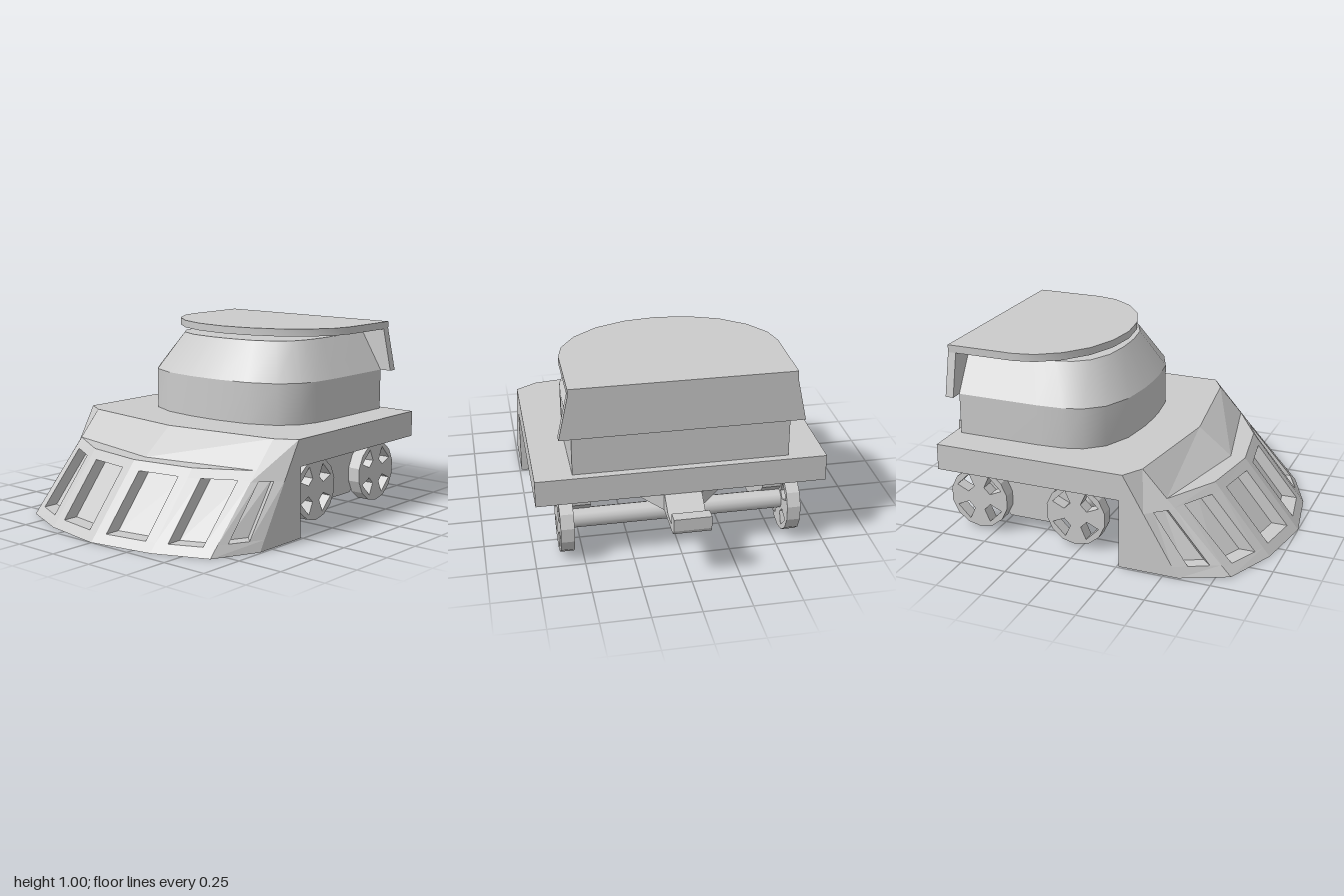
import * as THREE from 'three';
import { toCreasedNormals } from 'three/addons/utils/BufferGeometryUtils.js';

const material = new THREE.MeshStandardMaterial({ color: 0xcccccc, side: THREE.DoubleSide });

// Half outlines as [x, z], running from the rear corner to the centre front
const CAB = [[0.55, -0.72], [0.55, -0.27], [0.54, -0.13], [0.51, -0.03], [0.43, 0.065], [0.28, 0.13], [0.1, 0.153], [0, 0.155]];
const ROOF = [[0.565, -0.765], [0.565, -0.39], [0.54, -0.28], [0.46, -0.16], [0.33, -0.06], [0.17, 0], [0, 0.02]];
const DECK = [[0.74, -0.76], [0.74, 0.28], [0.63, 0.345], [0, 0.43]];

const mirrorOutline = (half) => [...half, ...half.slice(0, -1).reverse().map(([x, z]) => [-x, z])];
const toPath = (pts, Type = THREE.Shape) => new Type(pts.map(([x, y]) => new THREE.Vector2(x, y)));
const extrude = (shape, depth) => new THREE.ExtrudeGeometry(shape, { depth, bevelEnabled: false });

function add(parent, name, geometry) {
  const mesh = new THREE.Mesh(geometry, material);
  mesh.name = name;
  parent.add(mesh);
  return mesh;
}

// Horizontal plate from a half outline, with an optional hole
function plate(half, y, height, hole) {
  const flip = (pts) => mirrorOutline(pts).map(([x, z]) => [x, -z]);
  const shape = toPath(flip(half));
  if (hole) shape.holes.push(toPath(flip(hole), THREE.Path));
  return extrude(shape, height).rotateX(-Math.PI / 2).translate(0, y, 0);
}

// Flat faced geometry from a list of quads
function fromQuads(quads) {
  const pos = quads.flatMap(([a, b, c, d]) => [a, b, c, a, c, d].flat());
  const g = new THREE.BufferGeometry();
  g.setAttribute('position', new THREE.Float32BufferAttribute(pos, 3));
  g.computeVertexNormals();
  return g;
}

const mirrorQuads = (quads) => [
  ...quads,
  ...quads.map((q) => q.map(([x, y, z]) => [-x, y, z]).reverse()),
];

// Wall between two equal rings of points
function ringWall(low, high) {
  const quads = low.map((p, i) => {
    const j = (i + 1) % low.length;
    return [low[j], p, high[i], high[j]];
  });
  return toCreasedNormals(fromQuads(quads), 0.6);
}

// Sloping panel with one recessed window; corners run round from bottom inner
function windowPanel([a, b, c, d], [u0, u1, v0, v1], inset) {
  const at = (u, v) => a.map((_, k) =>
    (1 - v) * (a[k] * (1 - u) + b[k] * u) + v * (d[k] * (1 - u) + c[k] * u));
  const patch = (p, q, r, s) => [at(p, r), at(q, r), at(q, s), at(p, s)];
  const rim = patch(u0, u1, v0, v1);
  const back = rim.map((p) => p.map((n, k) => n + inset[k]));
  return [
    patch(0, 1, 0, v0), patch(0, 1, v1, 1), patch(0, u0, v0, v1), patch(u1, 1, v0, v1), back,
    ...rim.map((p, i) => [p, rim[(i + 1) % 4], back[(i + 1) % 4], back[i]]),
  ];
}

function buildSkirt(parent) {
  const p = [[0, 0, 1], [0.35, 0, 0.94], [0.63, 0, 0.82], [0.74, 0, 0.58], [0.74, 0, 0.26]];
  const ledge = [[0, 0.37, 0.69], [0.35, 0.37, 0.635], [0.63, 0.37, 0.475]];
  const slope = [[0, 0.37, 0.61], [0.63, 0.37, 0.475]];
  const brow = [[0, 0.51, 0.43], [0.63, 0.51, 0.345], [0.74, 0.51, 0.28], [0.74, 0.51, 0.26]];
  const inLow = [[0, 0, 0.89], [0.33, 0, 0.835], [0.52, 0, 0.73], [0.52, 0, 0.58], [0.52, 0, 0.26]];
  const inTop = [[0, 0.37, 0.58], [0.33, 0.37, 0.53], [0.52, 0.37, 0.4], [0.52, 0.37, 0.32], [0.52, 0.37, 0.26]];

  // Outside panels with windows
  add(parent, 'skirtPanels', fromQuads(mirrorQuads([
    ...windowPanel([p[0], p[1], ledge[1], ledge[0]], [0.17, 0.84, 0.12, 0.88], [0, 0, -0.085]),
    ...windowPanel([p[1], p[2], ledge[2], ledge[1]], [0.21, 0.79, 0.12, 0.88], [0, 0, -0.085]),
    ...windowPanel([p[2], p[3], brow[2], brow[1]], [0.23, 0.68, 0.11, 0.627], [-0.05, 0, -0.05]),
    [p[3], p[4], brow[3], brow[2]],
  ])));

  // Sloping brow and the ledge below it
  add(parent, 'skirtBrow', fromQuads(mirrorQuads([
    [slope[0], slope[1], brow[1], brow[0]],
    [ledge[0], ledge[1], slope[1], slope[0]],
  ])));

  // Inner lining, bottom rim and rear ends
  const lining = [];
  for (let i = 0; i < 4; i++) {
    lining.push([inLow[i + 1], inLow[i], inTop[i], inTop[i + 1]]);
    lining.push([p[i + 1], p[i], inLow[i], inLow[i + 1]]);
  }
  lining.push([p[4], inLow[4], inTop[4], [0.74, 0.37, 0.26]]);
  lining.push([inTop[0], inTop[1], inTop[2], [0, 0.37, 0.4]]);
  add(parent, 'skirtLining', fromQuads(mirrorQuads(lining)));
}

function buildCab(parent) {
  const ring = (y, sx = 1, sz = 1) =>
    mirrorOutline(CAB).map(([x, z]) => [x * sx, y, -0.72 + (z + 0.72) * sz]);
  const taper = [0.773, 0.846];
  add(parent, 'cabLower', ringWall(ring(0.51), ring(0.73)));
  add(parent, 'cabUpper', ringWall(ring(0.73), ring(0.935, ...taper)));
  const top = toPath(ring(0, ...taper).map(([x, , z]) => [x, -z]));
  add(parent, 'cabTop', new THREE.ShapeGeometry(top).rotateX(-Math.PI / 2).translate(0, 0.935, 0));

  // Roof slab and the plate hanging behind the cab
  add(parent, 'roof', toCreasedNormals(plate(ROOF, 0.96, 0.04), 0.6));
  const flap = toPath([[-0.615, 0.73], [0.615, 0.73], [0.565, 0.96], [-0.565, 0.96]]);
  add(parent, 'rearFlap', extrude(flap, 0.045).translate(0, 0, -0.765));
}

// Side profile given as [z, y], extruded across x
function sideProfile(pts, x, width) {
  const shape = toPath(pts.map(([z, y]) => [-z, y]));
  return extrude(shape, width).rotateY(Math.PI / 2).translate(x, 0, 0);
}

function wheelGeometry() {
  const polar = (r, a) => [r * Math.cos(a), r * Math.sin(a)];
  const sides = 14;
  const shape = toPath(Array.from({ length: sides }, (_, i) => polar(0.167, (i + 0.5) / sides * Math.PI * 2)));
  for (let i = 0; i < 4; i++) {
    const a = Math.PI / 4 + i * Math.PI / 2;
    const hole = [polar(0.07, a - 0.36), polar(0.142, a - 0.36), polar(0.142, a + 0.36), polar(0.07, a + 0.36)];
    shape.holes.push(toPath(hole, THREE.Path));
  }
  return extrude(shape, 0.07).rotateY(Math.PI / 2).translate(-0.035, 0, 0);
}

function buildRunningGear(parent) {
  const wheel = wheelGeometry();
  const frame = [[0, 0.335], [-0.1, 0.335], [-0.2, 0.355], [-0.42, 0.355], [-0.52, 0.335], [-0.62, 0.335],
    [-0.62, 0.27], [-0.44, 0.075], [-0.18, 0.075], [0, 0.27]];
  for (const z of [-0.03, -0.59]) {
    const axle = new THREE.CylinderGeometry(0.05, 0.05, 1.12, 14).rotateZ(Math.PI / 2);
    add(parent, 'axle', axle).position.set(0, 0.18, z);
    for (const s of [-1, 1]) add(parent, 'wheel', wheel).position.set(s * 0.585, 0.18, z);
  }
  for (const s of [-1, 1]) add(parent, 'bogieFrame', sideProfile(frame, s * 0.5 - 0.05, 0.1));
}

function buildCoupling(parent) {
  // Hooked tow bar
  add(parent, 'couplingHook', sideProfile([[-0.74, 0.37], [-0.74, 0.275], [-0.97, 0.275], [-0.99, 0.285], [-1, 0.305],
    [-1, 0.37], [-0.94, 0.37], [-0.935, 0.31], [-0.85, 0.31], [-0.76, 0.37]], -0.095, 0.19));
  // Mount flaring out under the deck
  const section = (w, low, z) => [[-w, low, z], [w, low, z], [w, 0.37, z], [-w, 0.37, z]];
  const near = section(0.095, 0.275, -0.75);
  const far = section(0.25, 0.33, -0.63);
  add(parent, 'couplingMount', fromQuads([
    ...near.map((p, i) => [p, near[(i + 1) % 4], far[(i + 1) % 4], far[i]]), far,
  ]));
}

export function createModel() {
  const model = new THREE.Group();
  model.name = 'railPlowCar';
  const part = (name, build) => {
    const group = new THREE.Group();
    group.name = name;
    build(group);
    model.add(group);
  };
  add(model, 'deck', plate(DECK, 0.37, 0.14, CAB));
  part('frontSkirt', buildSkirt);
  part('cab', buildCab);
  part('runningGear', buildRunningGear);
  part('coupling', buildCoupling);
  return model;
}
